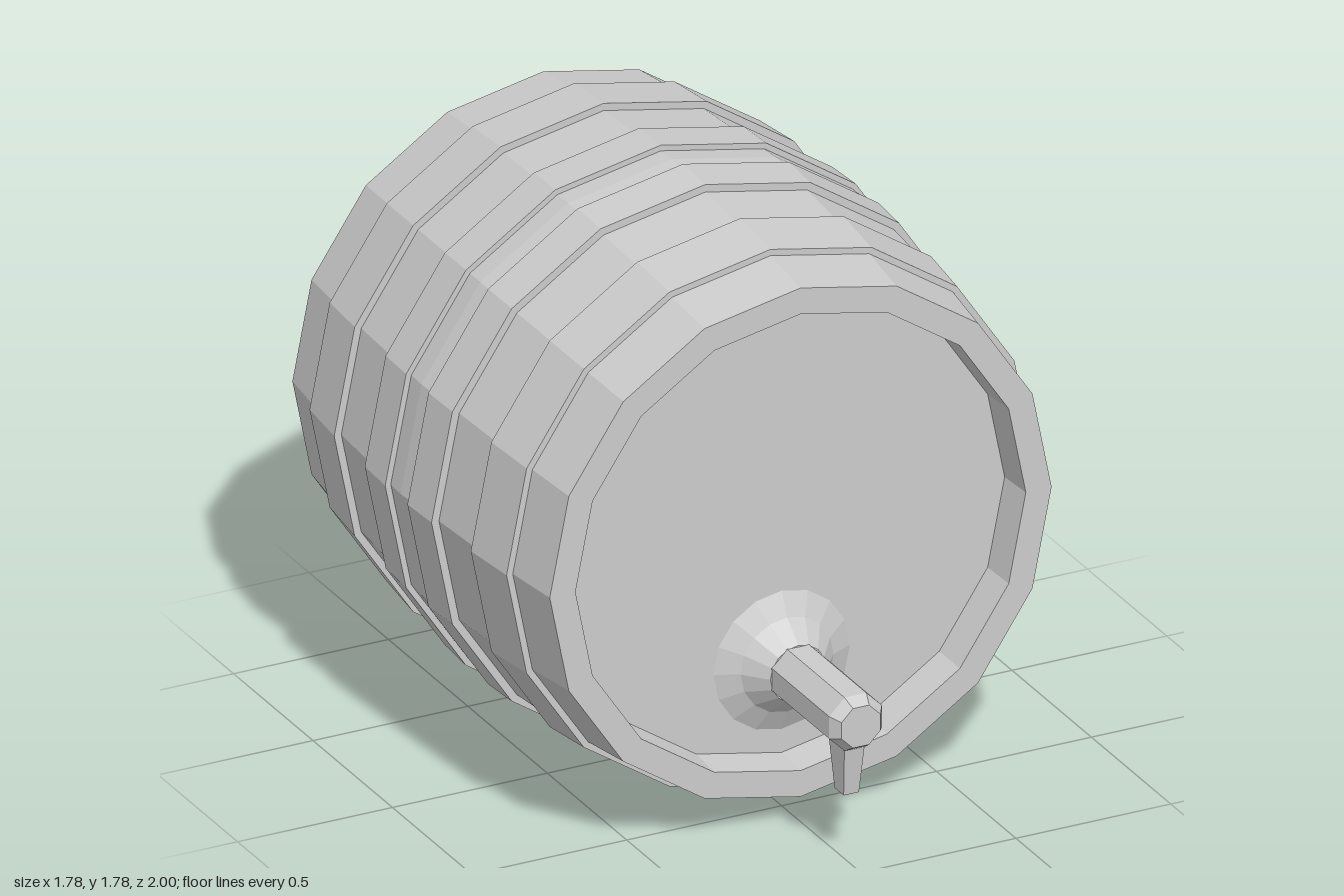
import * as THREE from 'three';

const CENTER_Y = 0.89;   // barrel axis height
const MID_Z = -0.19;     // barrel middle along its axis
const TAP_Y = 0.465;     // tap axis height

export function createModel() {
  const group = new THREE.Group();
  const material = new THREE.MeshStandardMaterial({ color: 0xcccccc, flatShading: true });

  const add = (name, geometry, y) => {
    const mesh = new THREE.Mesh(geometry, material);
    mesh.name = name;
    mesh.position.y = y;
    group.add(mesh);
  };

  // Turned part lying along z; profile points are [radius, z]
  const turned = (name, profile, sides, y, phase = 0) => {
    const points = profile.map(([r, z]) => new THREE.Vector2(r, z));
    const geometry = new THREE.LatheGeometry(points, sides, phase);
    geometry.rotateX(Math.PI / 2);
    add(name, geometry, y);
  };

  // Bulging body with a recessed head at both ends
  const half = [[0.872, 0.07], [0.86, 0.21], [0.847, 0.43], [0.832, 0.62], [0.81, 0.81]];
  const back = half.map(([r, d]) => [r, MID_Z - d]).reverse();
  const front = half.map(([r, d]) => [r, MID_Z + d]);
  turned('barrelBody', [
    [0, -0.94], [0.72, -0.94], [0.727, -1],
    ...back, [0.876, MID_Z], ...front,
    [0.727, 0.62], [0.72, 0.5], [0, 0.5],
  ], 16, CENTER_Y);

  // Hoops, mirrored about the middle: [inner distance, radius, outer distance, radius]
  const hoops = { middleHoop: [0.07, 0.89, 0.21, 0.884], endHoop: [0.43, 0.87, 0.62, 0.852] };
  for (const [name, [d0, r0, d1, r1]] of Object.entries(hoops)) {
    const inner0 = r0 - 0.05, inner1 = r1 - 0.05;
    turned(name + 'Front', [
      [inner0, MID_Z + d0], [r0, MID_Z + d0], [r1, MID_Z + d1], [inner1, MID_Z + d1],
    ], 16, CENTER_Y);
    turned(name + 'Back', [
      [inner1, MID_Z - d1], [r1, MID_Z - d1], [r0, MID_Z - d0], [inner0, MID_Z - d0],
    ], 16, CENTER_Y);
  }

  // Flared collar around the tap
  turned('tapCollar', [[0.22, 0.5], [0.15, 0.535], [0.09, 0.605], [0, 0.605]], 16, TAP_Y);

  // Octagonal tap pipe with a bevelled end
  turned('tapPipe', [[0.092, 0.5], [0.092, 0.965], [0.068, 1], [0, 1]], 8, TAP_Y, Math.PI / 8);

  // Tapered spout hanging below the pipe
  const spout = new THREE.BoxGeometry(0.07, 0.2, 0.11);
  const p = spout.attributes.position;
  for (let i = 0; i < p.count; i++) {
    if (p.getY(i) < 0) {
      p.setX(i, p.getX(i) * 0.7);
      p.setZ(i, p.getZ(i) * 0.52);
    }
  }
  spout.translate(0, 0, 0.91);
  add('tapSpout', spout, 0.325);

  return group;
}
